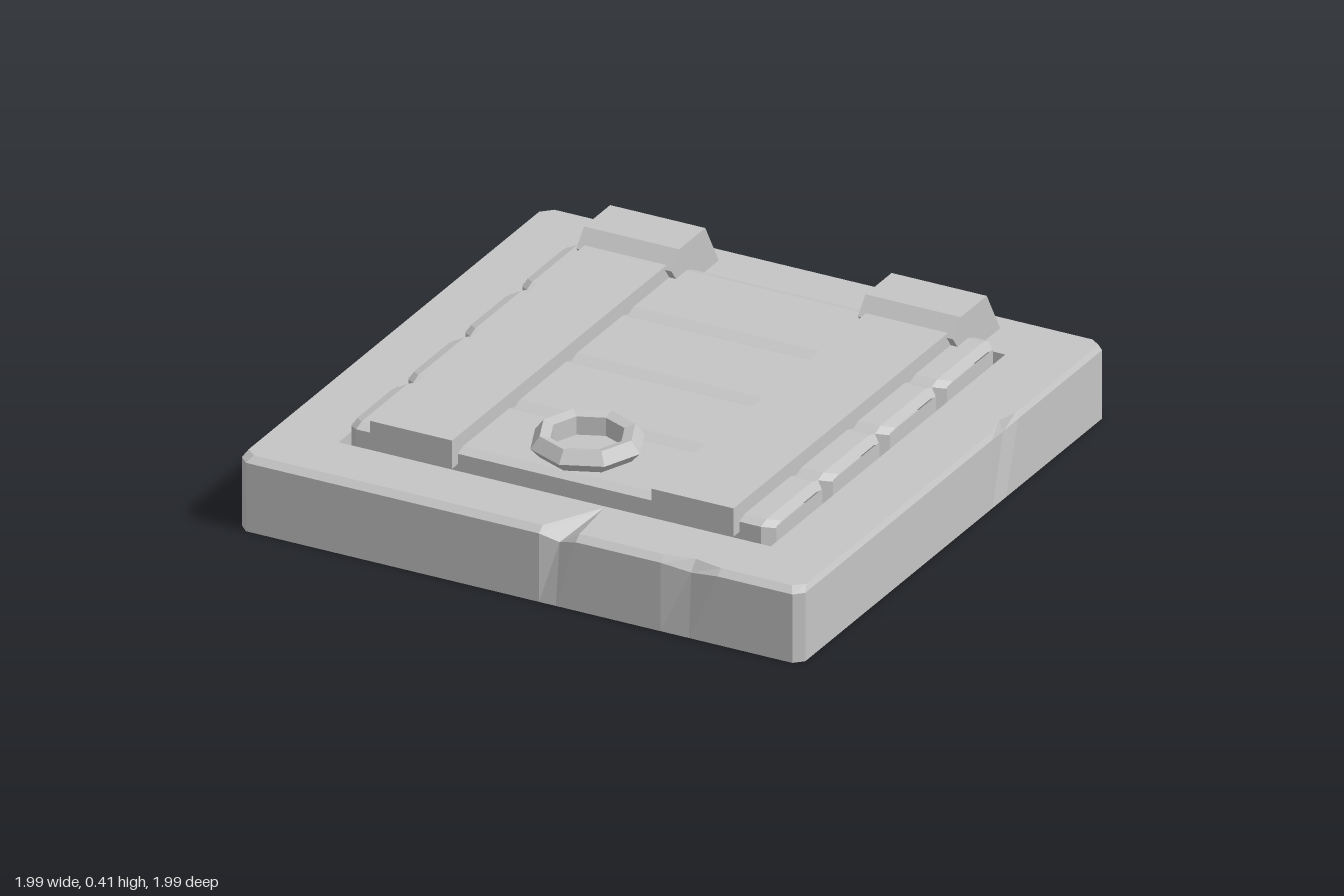
import * as THREE from 'three';

// Quad bands between successive loops of [x, y, z] points, lowest loop first
function bands(loops, closed = true) {
  const pos = [];
  for (let k = 0; k + 1 < loops.length; k++) {
    const lo = loops[k], hi = loops[k + 1], n = lo.length;
    for (let i = 0; i < (closed ? n : n - 1); i++) {
      const j = (i + 1) % n;
      pos.push(...lo[i], ...lo[j], ...hi[j], ...lo[i], ...hi[j], ...hi[i]);
    }
  }
  const g = new THREE.BufferGeometry();
  g.setAttribute('position', new THREE.Float32BufferAttribute(pos, 3));
  g.computeVertexNormals();
  return g;
}

export function createModel() {
  const stone = new THREE.MeshStandardMaterial({ color: 0xc4c4c4, side: THREE.DoubleSide, flatShading: true });
  stone.name = 'plain grey';
  const model = new THREE.Group();
  model.name = 'trapdoor';
  const add = (name, geometry, x = 0, y = 0, z = 0) => {
    const m = new THREE.Mesh(geometry, stone);
    m.name = name;
    m.position.set(x, y, z);
    model.add(m);
    return m;
  };

  // Frame outline, counter-clockwise from above: [top point], [edge point], [base point]
  const T = 0.255, E = 0.237, o = 0.995, c = 0.965, t = 0.97;
  const plain = (tx, tz, x, z) => [[tx, T, tz], [x, E, z], [x, 0, z]];
  const outline = [
    plain(-0.95, t, -c, o),
    // crack in the front edge
    plain(0.07, t, 0.07, o),
    [[0.18, T, 0.77], [0.13, 0.21, 0.97], [0.13, 0, o]],
    plain(0.2, t, 0.2, o),
    // chip in the front edge
    plain(0.5, t, 0.5, o),
    [[0.6, T, 0.95], [0.6, 0.22, 0.98], [0.6, 0, o]],
    plain(0.7, t, 0.7, o),
    plain(0.95, t, c, o),
    plain(0.985, 0.94, o, c),
    // chip in the side edge
    plain(0.985, -0.25, o, -0.25),
    [[0.965, T, -0.35], [0.975, 0.215, -0.36], [o, 0, -0.34]],
    plain(0.985, -0.42, o, -0.42),
    plain(0.985, -0.95, o, -c),
    plain(0.95, -0.985, c, -o),
    plain(-0.95, -0.985, -c, -o),
    plain(-0.985, -0.95, -o, -c),
    plain(-0.985, 0.94, -o, c),
  ];
  add('frameWalls', bands([2, 1, 0].map(k => outline.map(p => p[k]))));

  // Frame top with its square opening
  const top = new THREE.Shape(outline.map(([p]) => new THREE.Vector2(p[0], -p[2])));
  const h = 0.763;
  top.holes.push(new THREE.Path([[-h, -h], [-h, h], [h, h], [h, -h]].map(p => new THREE.Vector2(...p))));
  add('frameTop', new THREE.ShapeGeometry(top).rotateX(-Math.PI / 2), 0, T, 0).position.y = T;
  const square = y => [[-h, y, -h], [h, y, -h], [h, y, h], [-h, y, h]];
  add('frameLip', bands([square(0.2), square(T)]));

  // Door slab under the planks
  add('doorSlab', new THREE.BoxGeometry(1.55, 0.11, 1.55), 0, 0.155, 0);

  // Four planks with cut corners and softly bevelled long edges
  const w = 0.185;
  const section = (x, cut, drop) => [
    [-w + cut, 0.2], [-w + cut, 0.3 - drop], [-w + cut + 0.035, 0.312 - drop],
    [w - cut - 0.035, 0.312 - drop], [w - cut, 0.3 - drop], [w - cut, 0.2],
  ].map(([z, y]) => [x, y, z]);
  const plankLoops = [section(-0.75, 0.035, 0.012), section(-0.715, 0, 0), section(0.715, 0, 0), section(0.75, 0.035, 0.012)];
  const plank = bands(plankLoops.map(l => l.slice().reverse()));
  const endCap = new THREE.PlaneGeometry(0.3, 0.1).rotateY(Math.PI / 2);
  for (let i = 0; i < 4; i++) {
    const z = -0.5575 + i * 0.37;
    add('plank', plank, 0, 0, z);
    for (const s of [-1, 1]) add('plankEnd', endCap, s * 0.75, 0.245, z).rotation.y = s < 0 ? Math.PI : 0;
  }

  // Straps and their hinges
  const hingeProfile = new THREE.Shape([
    [0.92, 0.25], [0.65, 0.25], [0.64, 0.31], [0.61, 0.35], [0.66, 0.405], [0.83, 0.405],
  ].map(p => new THREE.Vector2(...p)));
  const hinge = new THREE.ExtrudeGeometry(hingeProfile, { depth: 0.336, bevelEnabled: false });
  hinge.translate(0, 0, -0.168).rotateY(Math.PI / 2);
  for (const x of [-0.501, 0.493]) {
    add('strap', new THREE.BoxGeometry(0.29, 0.098, 1.43), x, 0.313, 0.06);
    add('hinge', hinge, x, 0, 0);
  }

  // Octagonal pull ring
  const ring = [[0.12, 0.312], [0.155, 0.312], [0.185, 0.345], [0.155, 0.385], [0.12, 0.375], [0.12, 0.312]];
  add('pullRing', new THREE.LatheGeometry(ring.map(p => new THREE.Vector2(...p)), 8), 0, 0, 0.55);

  return model;
}
